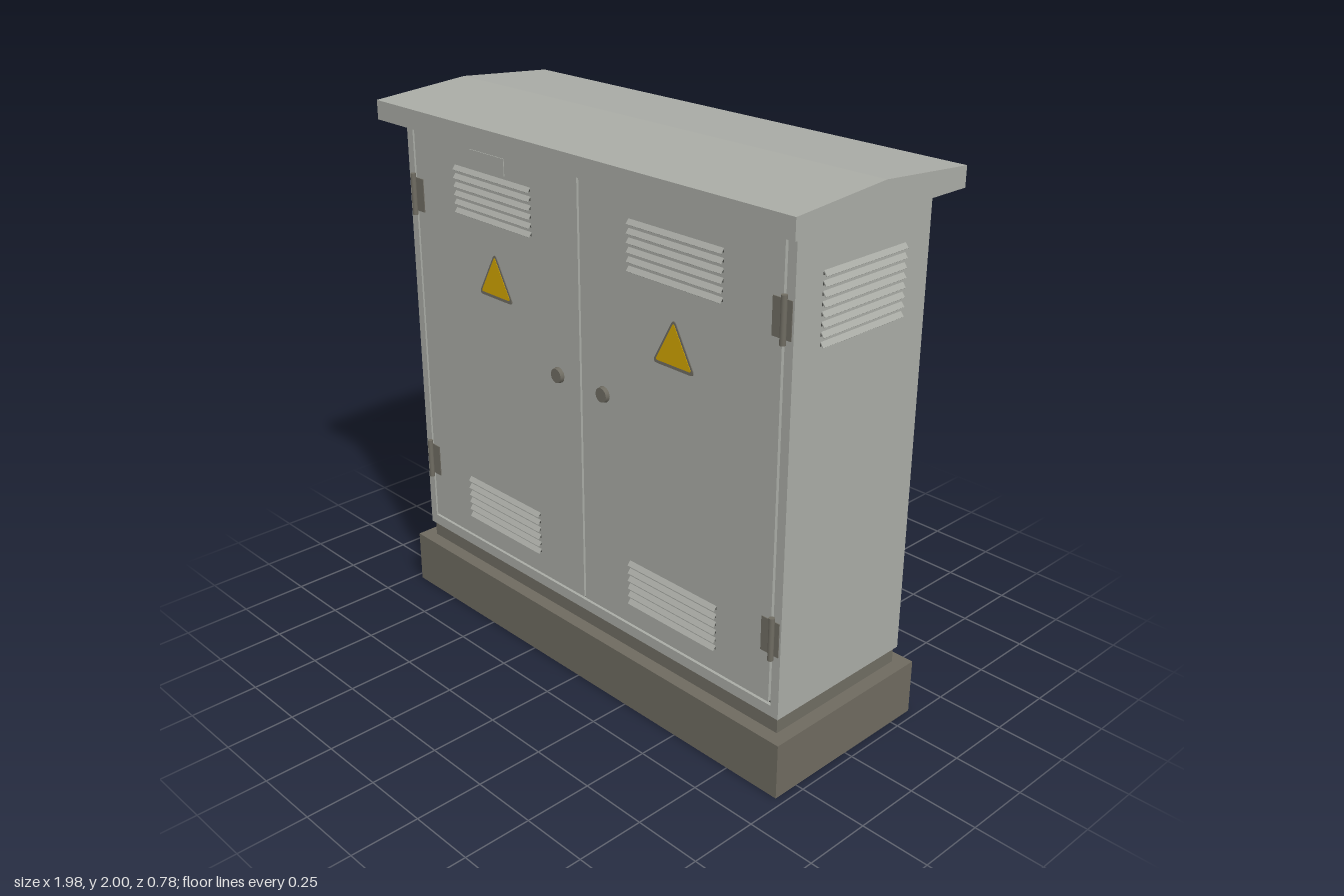
import * as THREE from 'three';

const mat = (name, color) => {
  const m = new THREE.MeshStandardMaterial({ color });
  m.name = name;
  return m;
};

export function createModel() {
  const grey = mat('cabinet grey', 0xa9aba5);
  const stone = mat('plinth stone', 0x6e6a5f);
  const steel = mat('hardware steel', 0x6f6c62);
  const dark = mat('shadow gap', 0x4c4d49);
  const yellow = mat('warning yellow', 0xd0a400);
  const model = new THREE.Group();
  model.name = 'electricalCabinet';

  const add = (name, geo, material, x = 0, y = 0, z = 0, parent = model) => {
    const mesh = new THREE.Mesh(geo, material);
    mesh.name = name;
    mesh.position.set(x, y, z);
    parent.add(mesh);
    return mesh;
  };
  // Box given by its extents
  const box = (name, material, x0, x1, y0, y1, z0, z1, parent) =>
    add(name, new THREE.BoxGeometry(x1 - x0, y1 - y0, z1 - z0), material,
      (x0 + x1) / 2, (y0 + y1) / 2, (z0 + z1) / 2, parent);
  const polygon = (pts) => new THREE.Shape(pts.map(([x, y]) => new THREE.Vector2(x, y)));
  const rect = (x0, x1, y0, y1) => polygon([[x0, y0], [x1, y0], [x1, y1], [x0, y1]]);
  const extrude = (shape, depth) =>
    new THREE.ExtrudeGeometry(shape, { depth, bevelEnabled: false, curveSegments: 6 });

  // Plinth, skirt and body shell
  box('plinth', stone, -0.97, 0.97, 0, 0.205, -0.35, 0.35);
  box('skirt', steel, -0.92, 0.92, 0.205, 0.265, -0.3, 0.3);
  box('body', grey, -0.93, 0.93, 0.265, 1.91, -0.31, 0.294);

  // Front frame around the door opening, with a dark gap behind the doors
  const frame = rect(-0.93, 0.93, 0.265, 1.91);
  frame.holes.push(rect(-0.897, 0.897, 0.305, 1.885));
  add('doorFrame', extrude(frame, 0.016), grey, 0, 0, 0.294);
  box('doorGap', dark, -0.897, 0.897, 0.305, 1.885, 0.294, 0.297);

  // Shallow gabled roof
  const gable = polygon([[-0.39, 1.9], [0.39, 1.9], [0.39, 1.97], [0, 2], [-0.39, 1.97]]);
  const roof = add('roof', extrude(gable, 1.98), grey, -0.99, 0, 0);
  roof.rotation.y = Math.PI / 2;

  // Bank of sloping louvre fins, facing +z in its own group
  const louvres = (name, width, top, bottom, rows) => {
    const g = new THREE.Group();
    g.name = name;
    const pitch = (top - bottom - 0.016) / (rows - 1);
    for (let i = 0; i < rows; i++) {
      const y = top - 0.008 - i * pitch;
      box('louvreSlot', dark, -width / 2, width / 2, y - 0.006, y + 0.004, 0, 0.001, g);
      const fin = add('louvreFin', new THREE.BoxGeometry(width, 0.02, 0.003), grey, 0, y, 0.006, g);
      fin.rotation.x = -0.65;
    }
    model.add(g);
    return g;
  };

  // Triangle with rounded corners
  const triangle = (w, h, r) => {
    const c = [[-w / 2, -h / 2], [w / 2, -h / 2], [0, h / 2]].map(([x, y]) => new THREE.Vector2(x, y));
    const s = new THREE.Shape();
    c.forEach((p, i) => {
      const a = p.clone().lerp(c[(i + 2) % 3], r);
      const b = p.clone().lerp(c[(i + 1) % 3], r);
      if (i) s.lineTo(a.x, a.y); else s.moveTo(a.x, a.y);
      s.quadraticCurveTo(p.x, p.y, b.x, b.y);
    });
    return s;
  };

  for (const side of [-1, 1]) {
    const label = side > 0 ? 'left' : 'right';
    const span = (name, m, a, b, ...rest) =>
      box(name, m, Math.min(side * a, side * b), Math.max(side * a, side * b), ...rest);

    // Door leaf with its vents
    span(label + 'Door', grey, 0.005, 0.887, 0.315, 1.875, 0.296, 0.31);
    louvres(label + 'UpperVent', 0.41, 1.785, 1.615, 6).position.set(side * 0.445, 0, 0.31);
    louvres(label + 'LowerVent', 0.41, 0.567, 0.4, 6).position.set(side * 0.445, 0, 0.31);

    // Vent on the end wall
    const vent = louvres(label + 'SideVent', 0.38, 1.757, 1.52, 8);
    vent.position.x = side * 0.93;
    vent.rotation.y = side * Math.PI / 2;

    // Warning triangle
    add(label + 'SignBorder', extrude(triangle(0.19, 0.17, 0.12), 0.003), steel, side * 0.445, 1.425, 0.31);
    add(label + 'SignFace', extrude(triangle(0.16, 0.143, 0.06), 0.002), yellow, side * 0.445, 1.423, 0.3125);

    // Turn lock
    const lock = add(label + 'Lock', new THREE.CylinderGeometry(0.026, 0.029, 0.016, 12), steel,
      side * 0.115, 1.15, 0.317);
    lock.rotation.x = Math.PI / 2;

    // Hinges
    for (const y of [0.56, 1.63]) {
      span(label + 'HingePlate', steel, 0.848, 0.923, y - 0.062, y + 0.062, 0.309, 0.313);
      add(label + 'HingeBarrel', new THREE.CylinderGeometry(0.01, 0.01, 0.155, 12), steel,
        side * 0.897, y, 0.319);
    }
  }

  // Blank name plate on one door
  box('namePlate', grey, -0.56, -0.375, 1.797, 1.857, 0.31, 0.313);
  return model;
}
